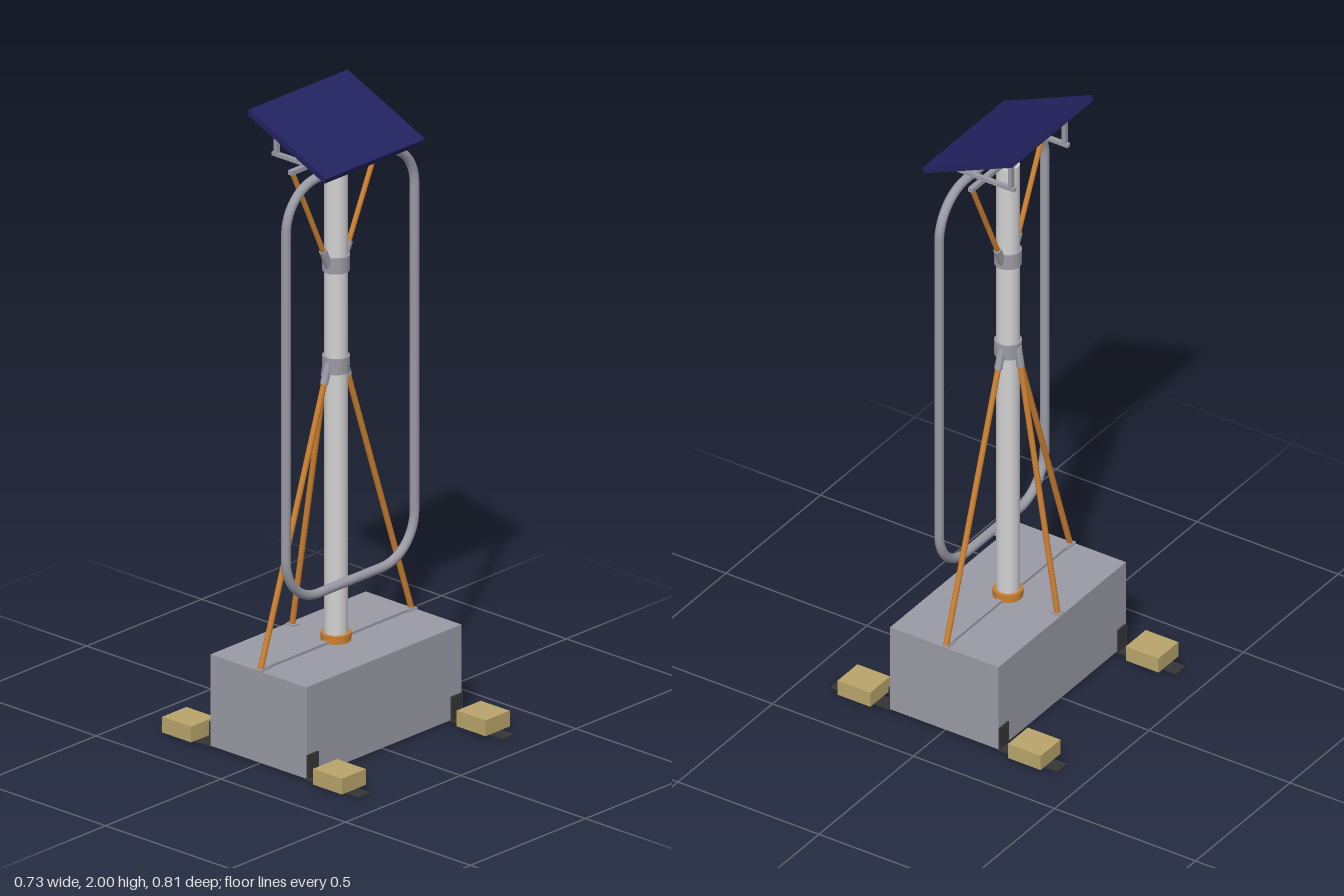
import * as THREE from 'three';

const mat = (name, color, side = THREE.FrontSide) => {
  const m = new THREE.MeshStandardMaterial({ color, side });
  m.name = name;
  return m;
};

export function createModel() {
  const root = new THREE.Group();
  root.name = 'solarMast';
  const grey = mat('steelGrey', 0x9a9aa5);
  const pale = mat('paleAluminium', 0xd2d2d2, THREE.DoubleSide);
  const orange = mat('orange', 0xcc8030);
  const navy = mat('panelNavy', 0x22225f);
  const tan = mat('ballastTan', 0xb8a46a);
  const black = mat('bracketBlack', 0x363636);

  const add = (name, geo, m, x = 0, y = 0, z = 0) => {
    const mesh = new THREE.Mesh(geo, m);
    mesh.name = name;
    mesh.position.set(x, y, z);
    root.add(mesh);
    return mesh;
  };
  const box = (name, m, w, h, d, x, y, z) => add(name, new THREE.BoxGeometry(w, h, d), m, x, y, z);
  const V = (x, y, z) => new THREE.Vector3(x, y, z);
  const rod = (name, m, a, b, r, r2 = r) => {
    const dir = b.clone().sub(a);
    const mesh = add(name, new THREE.CylinderGeometry(r2, r, dir.length(), 16), m);
    mesh.position.copy(a).add(b).multiplyScalar(0.5);
    mesh.quaternion.setFromUnitVectors(V(0, 1, 0), dir.normalize());
    return mesh;
  };

  // Base cabinet with a rail and strut pads on its lid
  box('baseCabinet', grey, 0.674, 0.29, 0.384, 0, 0.15, 0);
  box('lidRail', grey, 0.66, 0.008, 0.018, 0, 0.299, 0);
  for (const s of [-1, 1]) box('strutPad', grey, 0.047, 0.004, 0.027, s * 0.317, 0.297, 0);
  box('strutPad', grey, 0.027, 0.004, 0.032, 0, 0.297, -0.174);

  // Feet: drilled angle brackets, each carrying a ballast block
  const foot = new THREE.Shape([[-0.024, 0.19], [0.024, 0.19], [0.024, 0.403], [-0.024, 0.403]]
    .map(p => new THREE.Vector2(...p)));
  const hole = new THREE.Path();
  hole.absarc(0, 0.381, 0.005, 0, Math.PI * 2, true);
  foot.holes.push(hole);
  const footGeo = new THREE.ExtrudeGeometry(foot, { depth: 0.006, bevelEnabled: false, curveSegments: 12 });
  footGeo.rotateX(Math.PI / 2).translate(0, 0.006, 0);
  for (const sx of [-1, 1]) {
    for (const sz of [-1, 1]) {
      const plate = add('footPlate', footGeo, black, sx * 0.313);
      if (sz < 0) plate.rotation.y = Math.PI;
      box('footUpright', black, 0.048, 0.074, 0.006, sx * 0.313, 0.043, sz * 0.195);
      box('ballastBlock', tan, 0.105, 0.05, 0.116, sx * 0.312, 0.034, sz * 0.302);
    }
  }

  // Hollow mast and its flange
  add('mast', new THREE.LatheGeometry([[0.028, 0.295], [0.035, 0.295], [0.035, 1.82], [0.028, 1.82], [0.028, 1.7]]
    .flatMap(p => [new THREE.Vector2(...p), new THREE.Vector2(...p)]), 32), pale);
  add('mastFlange', new THREE.CylinderGeometry(0.045, 0.045, 0.025, 32), orange, 0, 0.308, 0);

  // Clamp collars with lugs, and the struts they hold
  for (const y of [1.175, 1.495])
    add('clampCollar', new THREE.CylinderGeometry(0.041, 0.041, 0.05, 32), grey, 0, y, 0);
  const strut = (a, b, r) => {
    rod('strut', orange, a, b, r);
    const dir = b.clone().sub(a).normalize();
    rod('clampLug', grey, a.clone().addScaledVector(dir, -0.02), a.clone().addScaledVector(dir, 0.045), 0.012);
  };
  for (const s of [-1, 1]) {
    strut(V(s * 0.038, 1.165, 0), V(s * 0.327, 0.298, 0), 0.009);
    strut(V(s * 0.038, 1.505, 0), V(s * 0.188, 1.83, 0), 0.008);
  }
  strut(V(0, 1.165, -0.038), V(0, 0.298, -0.175), 0.009);

  // Rounded tube hoop in front of the mast
  const hoop = new THREE.CurvePath();
  const w = 0.279, y0 = 0.499, y1 = 1.82, r = 0.14;
  const corners = [[w - r, y0 + r, -0.5], [w - r, y1 - r, 0], [r - w, y1 - r, 0.5], [r - w, y0 + r, 1]];
  const pts = corners.map(([cx, cy, a]) => Array.from({ length: 13 }, (_, i) => {
    const t = (a + i / 24) * Math.PI;
    return V(cx + r * Math.cos(t), cy + r * Math.sin(t), 0.057);
  }));
  pts.forEach((arc, i) => {
    for (let k = 0; k < 12; k++) hoop.add(new THREE.LineCurve3(arc[k], arc[k + 1]));
    hoop.add(new THREE.LineCurve3(arc[12], pts[(i + 1) % 4][0]));
  });
  add('hoop', new THREE.TubeGeometry(hoop, 400, 0.0145, 14, true), grey);
  for (const y of [y0, y1 - 0.012]) box('hoopClip', grey, 0.014, 0.014, 0.02, 0, y, 0.04);

  // Panel carrier: cross bar, side arms and uprights
  rod('carrierPost', grey, V(0, 1.76, 0), V(0, 1.84, 0), 0.009);
  box('crossBar', grey, 0.4, 0.014, 0.016, 0, 1.836, 0);
  for (const s of [-1, 1]) {
    const x = s * 0.142;
    box('carrierArm', grey, 0.014, 0.012, 0.245, x, 1.85, 0.002);
    box('rearUpright', grey, 0.014, 0.11, 0.014, x, 1.908, -0.106);
    box('frontUpright', grey, 0.014, 0.02, 0.014, x, 1.86, 0.117);
  }

  // Tilted solar panel, lower at the front
  box('solarPanel', navy, 0.43, 0.018, 0.34, 0, 1.924, 0).rotation.x = 0.41;

  return root;
}
